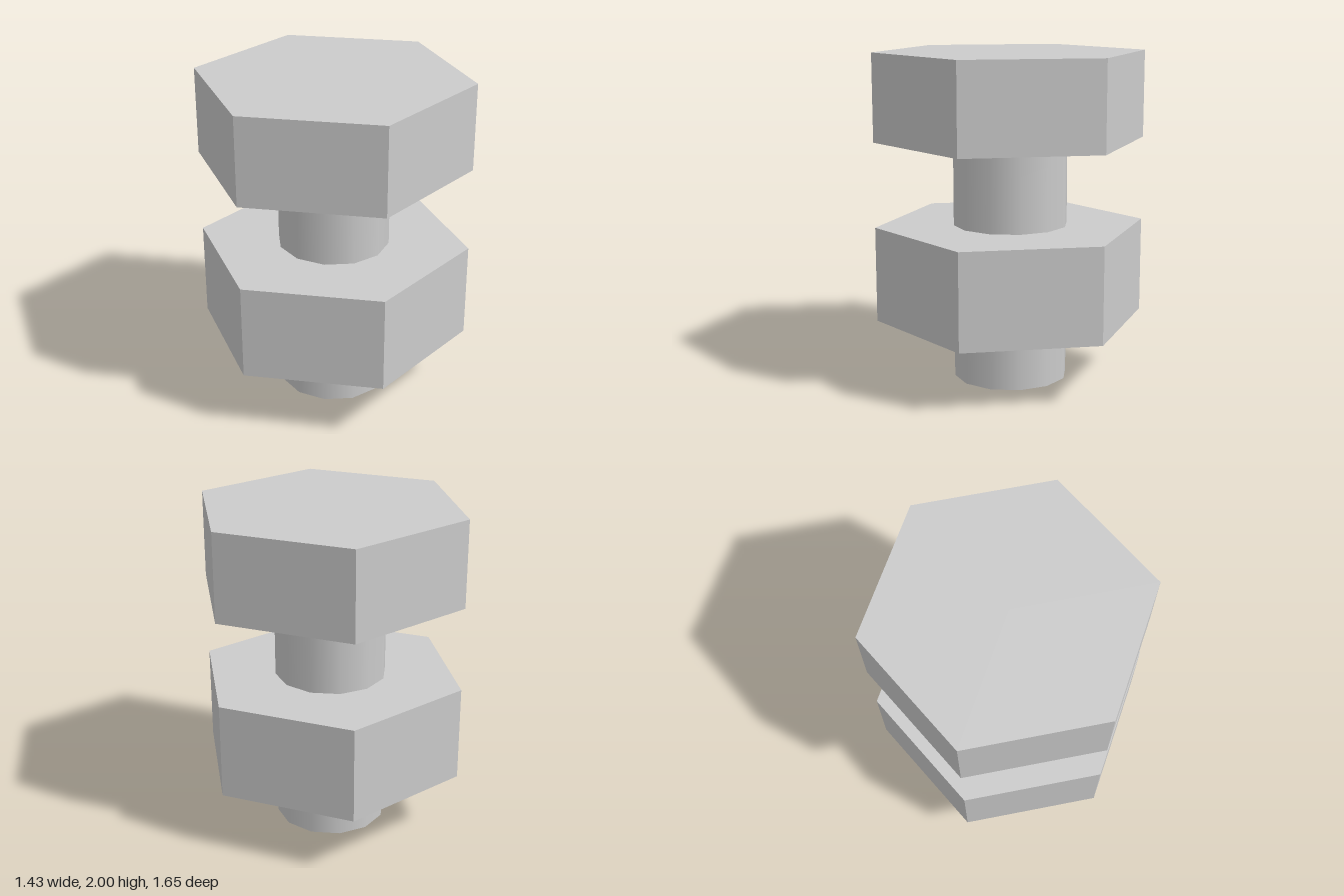
import * as THREE from 'three';

export function createModel() {
  const model = new THREE.Group();
  const grey = new THREE.MeshStandardMaterial({ color: 0xcccccc });
  const greyFlat = new THREE.MeshStandardMaterial({ color: 0xcccccc, flatShading: true });

  // upright prism between two heights, with a corner facing the front
  function prism(name, radius, sides, bottom, top, material) {
    const geometry = new THREE.CylinderGeometry(radius, radius, top - bottom, sides);
    const mesh = new THREE.Mesh(geometry, material);
    mesh.name = name;
    mesh.position.y = (bottom + top) / 2;
    model.add(mesh);
    return mesh;
  }

  // hexagonal head and nut
  prism('boltHead', 0.825, 6, 1.47, 2, greyFlat);
  prism('nut', 0.825, 6, 0.375, 0.955, greyFlat);

  // smooth shank running through the nut into the head, slightly narrower across x
  const shank = prism('shank', 0.35, 12, 0, 1.47, grey);
  shank.scale.x = 0.97;

  return model;
}
